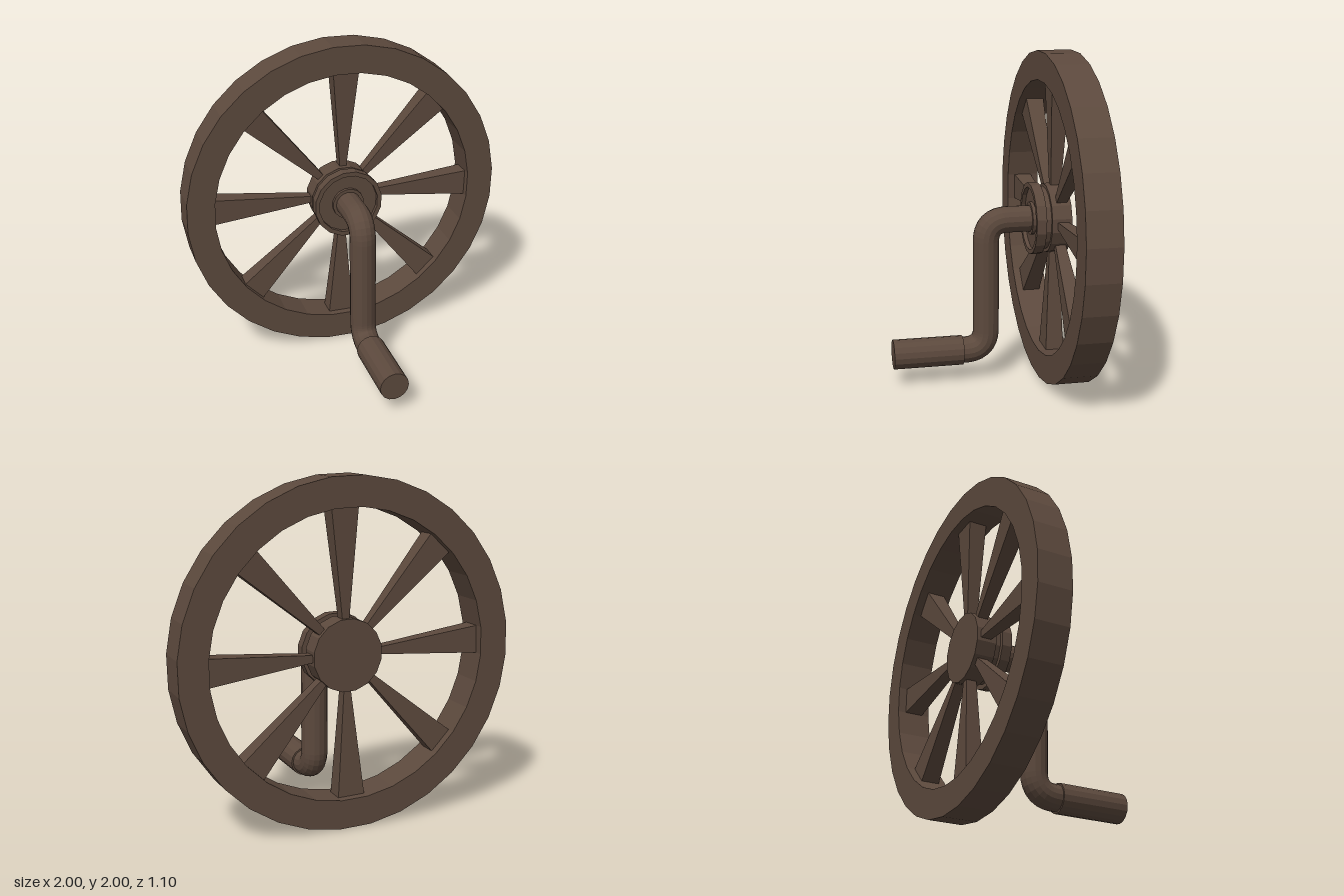
import * as THREE from 'three';

const brown = new THREE.MeshStandardMaterial({ color: 0x5c493d, flatShading: true });
brown.name = 'dark brown';

function part(name, geometry, parent) {
  const mesh = new THREE.Mesh(geometry, brown);
  mesh.name = name;
  parent.add(mesh);
  return mesh;
}

// Turned part around the z axis; profile is [radius, z], outer side running forward
function turned(profile, sides) {
  const points = profile.map(([r, z]) => new THREE.Vector2(r, z));
  return new THREE.LatheGeometry(points, sides, Math.PI / sides).rotateX(Math.PI / 2);
}

// Box along y that widens from the hub towards the rim
function spokeGeometry(r0, r1, inner, outer) {
  const g = new THREE.BoxGeometry(1, r1 - r0, 1).translate(0, (r0 + r1) / 2, 0);
  const p = g.attributes.position;
  for (let i = 0; i < p.count; i++) {
    const [w, d] = p.getY(i) > (r0 + r1) / 2 ? outer : inner;
    p.setX(i, p.getX(i) * w);
    p.setZ(i, p.getZ(i) * d);
  }
  g.computeVertexNormals();
  return g;
}

export function createModel() {
  const model = new THREE.Group();
  model.name = 'crankWheel';

  // Wheel, turned slightly clockwise
  const wheel = new THREE.Group();
  wheel.name = 'wheel';
  wheel.position.y = 1;
  wheel.rotation.z = THREE.MathUtils.degToRad(-1.7);
  model.add(wheel);

  part('rim', turned([
    [0.83, -0.55], [1.002, -0.55], [1.002, -0.345], [0.83, -0.345], [0.83, -0.55],
  ], 32), wheel);

  // Hub: rear drum, groove, front collar with a recessed face and axle boss
  part('hub', turned([
    [0, -0.5], [0.21, -0.5], [0.21, -0.38], [0.19, -0.38], [0.19, -0.345],
    [0.218, -0.345], [0.218, -0.285], [0.19, -0.285], [0.19, -0.31],
    [0.1, -0.31], [0.1, -0.29], [0, -0.29],
  ], 16), wheel);

  const spoke = spokeGeometry(0.17, 0.84, [0.036, 0.06], [0.165, 0.11]);
  for (let i = 0; i < 8; i++) {
    const mesh = part('spoke', spoke, wheel);
    mesh.position.z = -0.445;
    mesh.rotation.z = (i * Math.PI) / 4;
  }

  // Crank arm: forward from the hub, down, then forward again
  const v = (y, z) => new THREE.Vector3(0, y, z);
  const armZ = -0.023, topY = 1, lowY = 0.19, bend = 0.13;
  const path = new THREE.CurvePath();
  path.add(new THREE.LineCurve3(v(topY, -0.32), v(topY, armZ - bend)));
  path.add(new THREE.QuadraticBezierCurve3(v(topY, armZ - bend), v(topY, armZ), v(topY - bend, armZ)));
  path.add(new THREE.LineCurve3(v(topY - bend, armZ), v(lowY + bend, armZ)));
  path.add(new THREE.QuadraticBezierCurve3(v(lowY + bend, armZ), v(lowY, armZ), v(lowY, armZ + bend)));
  path.add(new THREE.LineCurve3(v(lowY, armZ + bend), v(lowY, 0.16)));
  part('crankArm', new THREE.TubeGeometry(path, 48, 0.08, 16), model);

  // Hand grip
  const grip = part('grip', new THREE.CylinderGeometry(0.09, 0.09, 0.425, 16).rotateX(Math.PI / 2), model);
  grip.position.set(0, lowY, 0.3375);

  return model;
}
